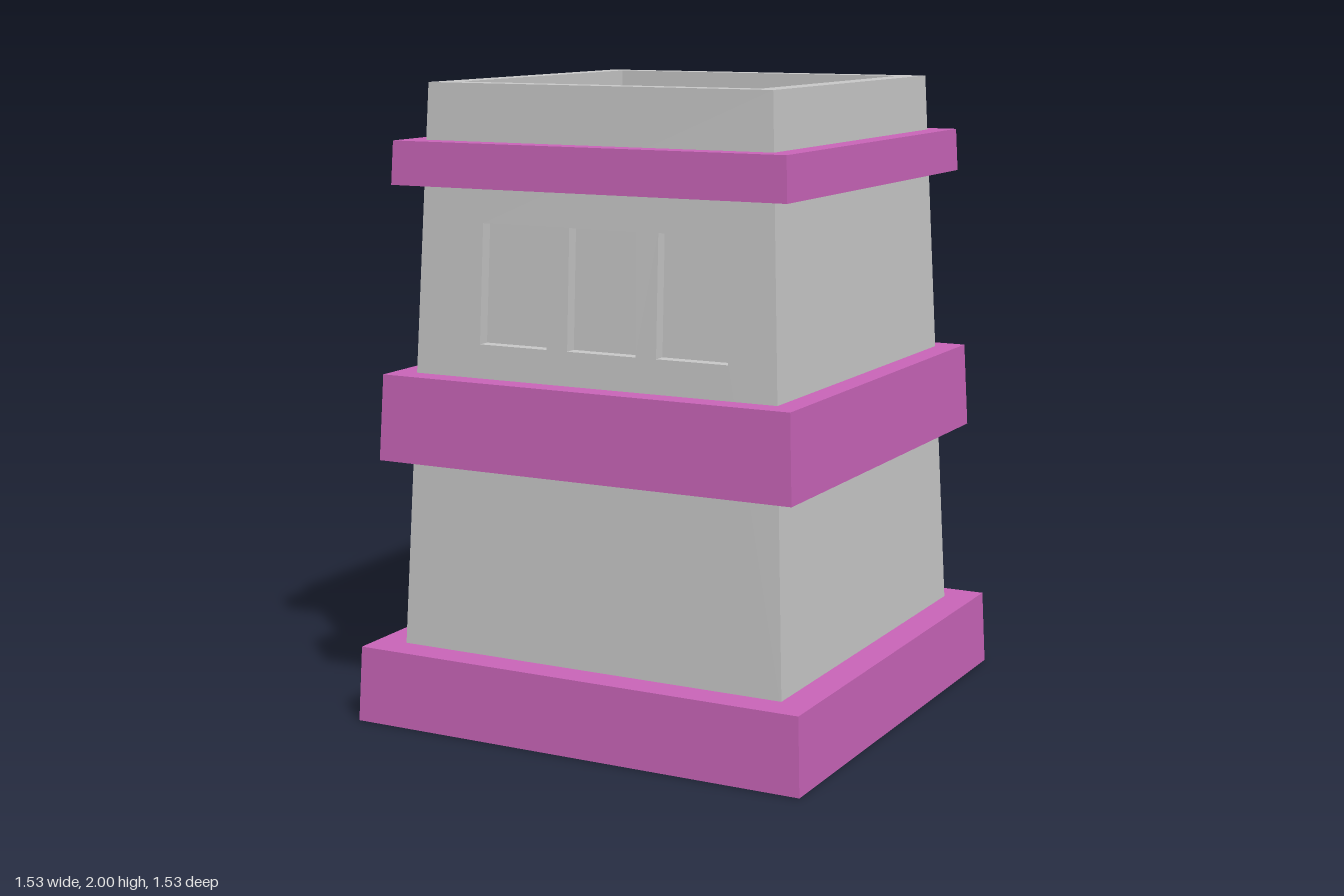
import * as THREE from 'three';

const grey = new THREE.MeshStandardMaterial({ color: 0xcccccc, flatShading: true });
const violet = new THREE.MeshStandardMaterial({ color: 0xcc66bb, flatShading: true });

// Half width of the tapering tower at a height
const half = (y) => 0.665 - 0.0425 * y;

// Joins four-cornered rings with quads on the chosen sides, and closes the last ring
function loft(rings, sides, cap) {
  const points = [];
  const quad = (a, b, c, d) => points.push(a, b, c, a, c, d);
  for (let i = 0; i < rings.length - 1; i++) {
    for (const k of sides) {
      const n = (k + 1) % 4;
      quad(rings[i][k], rings[i][n], rings[i + 1][n], rings[i + 1][k]);
    }
  }
  if (cap) quad(...rings[rings.length - 1]);
  const geometry = new THREE.BufferGeometry().setFromPoints(points);
  geometry.computeVertexNormals();
  return geometry;
}

const square = (h, y) =>
  [[-h, h], [h, h], [h, -h], [-h, -h]].map(([x, z]) => new THREE.Vector3(x, y, z));

function addMesh(parent, name, geometry, material) {
  const mesh = new THREE.Mesh(geometry, material);
  mesh.name = name;
  parent.add(mesh);
  return mesh;
}

// Windowed wall: sloping sheet with three recessed panels
function windowedWall(name) {
  const wall = new THREE.Group();
  wall.name = name;
  const bottom = 0.2, top = 2, sill = 1.21, head = 1.58, depth = 0.04;
  const outline = new THREE.Shape([
    new THREE.Vector2(-half(bottom), bottom), new THREE.Vector2(half(bottom), bottom),
    new THREE.Vector2(half(top), top), new THREE.Vector2(-half(top), top),
  ]);
  // Left and right edges of each opening, at the sill and at the head
  const openings = [
    [-0.388, -0.152, -0.38, -0.15],
    [-0.08, 0.153, -0.078, 0.147],
    [0.222, 0.458, 0.222, 0.446],
  ];
  for (const [x0, x1, x2, x3] of openings) {
    const corners = [[x0, sill], [x1, sill], [x3, head], [x2, head]];
    outline.holes.push(new THREE.Path(corners.map(([x, y]) => new THREE.Vector2(x, y))));
    const ring = (d) => corners.map(([x, y]) => new THREE.Vector3(x, y, half(y) - d));
    addMesh(wall, 'windowRecess', loft([ring(0), ring(depth)], [0, 1, 2, 3], true), grey);
  }
  const sheet = new THREE.ShapeGeometry(outline);
  const p = sheet.attributes.position;
  for (let i = 0; i < p.count; i++) p.setZ(i, half(p.getY(i)));
  sheet.computeVertexNormals();
  addMesh(wall, 'wallFace', sheet, grey);
  return wall;
}

// Solid square band with sloping sides
function addBand(parent, name, y0, y1, h0, h1) {
  const geometry = new THREE.CylinderGeometry(h1 * Math.SQRT2, h0 * Math.SQRT2, y1 - y0, 4);
  geometry.rotateY(Math.PI / 4).translate(0, (y0 + y1) / 2, 0);
  addMesh(parent, name, geometry, violet);
}

export function createModel() {
  const model = new THREE.Group();
  model.name = 'tower';

  // Plain left and right walls
  addMesh(model, 'sideWalls', loft([square(half(0.2), 0.2), square(half(2), 2)], [1, 3], false), grey);

  // Windowed front and back walls
  const back = windowedWall('backWall');
  back.rotation.y = Math.PI;
  model.add(windowedWall('frontWall'), back);

  // Rim and stepped sunken roof
  const steps = [[half(2), 2], [0.51, 2], [0.51, 1.92], [0.435, 1.92], [0.435, 1.84]];
  addMesh(model, 'steppedRoof', loft(steps.map(([h, y]) => square(h, y)), [0, 1, 2, 3], true), grey);

  // Base and bands
  addBand(model, 'base', 0, 0.24, 0.765, 0.755);
  addBand(model, 'middleBand', 0.835, 1.105, 0.705, 0.693);
  addBand(model, 'upperBand', 1.69, 1.825, 0.666, 0.66);

  return model;
}
